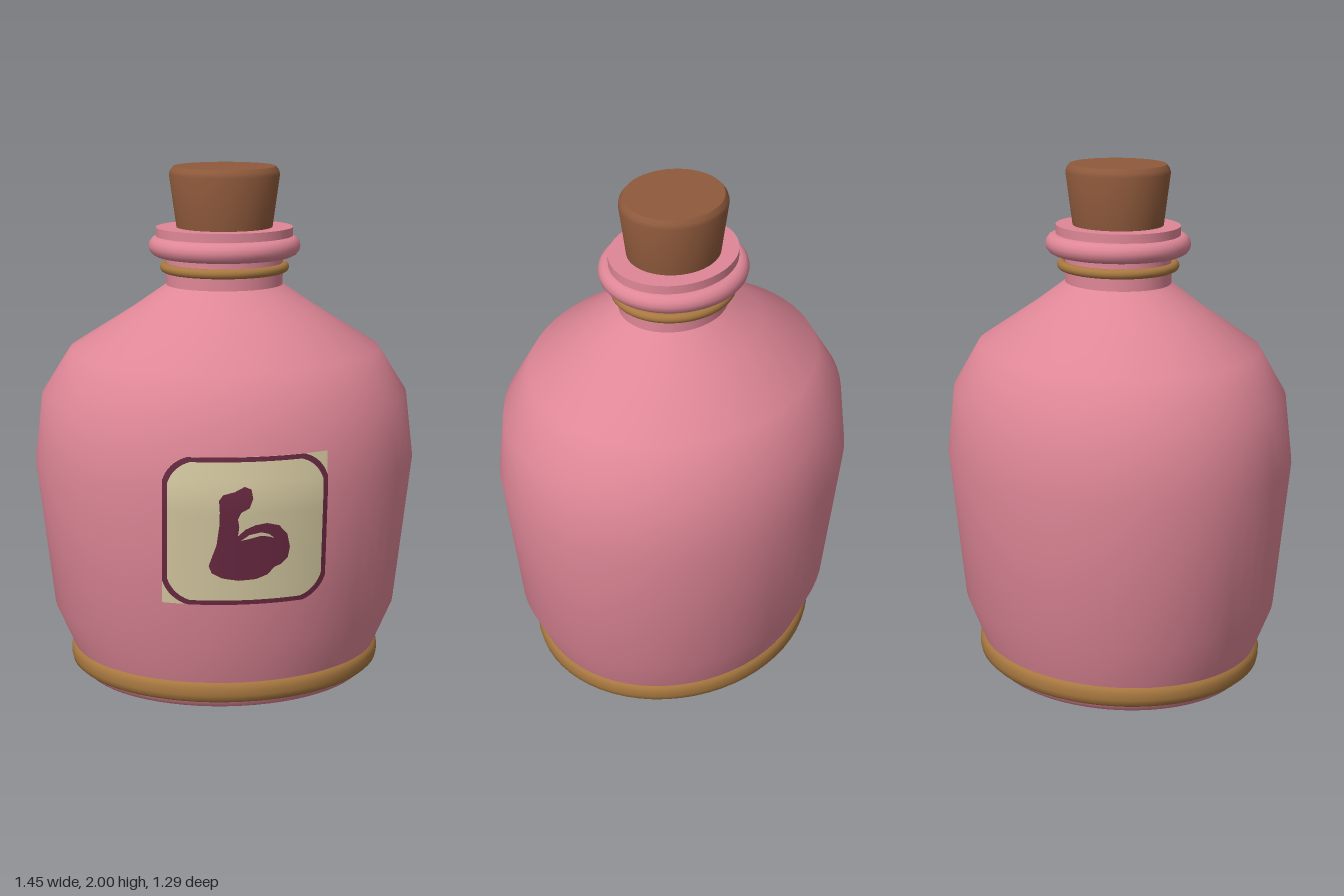
import * as THREE from 'three';
import { toCreasedNormals } from 'three/addons/utils/BufferGeometryUtils.js';

const DEPTH = 0.88;   // front-to-back squash of the oval body
const ZC = -0.006;    // body centre in z

// Body outline: [radius, height]
const PROFILE = [
  [0, 0], [0.4, 0], [0.55, 0.055], [0.565, 0.075], [0.59, 0.16], [0.662, 0.33],
  [0.725, 0.9], [0.695, 1.15], [0.588, 1.32], [0.35, 1.47], [0.22, 1.56], [0.22, 1.7],
];

function mat(name, color, side = THREE.FrontSide) {
  const m = new THREE.MeshStandardMaterial({ color, side });
  m.name = name;
  return m;
}

// Oval turned part with sharp edges kept
function turned(name, points, depth, material) {
  let geo = new THREE.LatheGeometry(points.map(([r, y]) => new THREE.Vector2(r, y)), 64);
  geo.scale(1, 1, depth);
  geo = toCreasedNormals(geo, 0.72);
  const mesh = new THREE.Mesh(geo, material);
  mesh.name = name;
  mesh.position.z = ZC;
  return mesh;
}

// Oval ring with a round section
function ring(name, outer, tube, y, depth, material) {
  const geo = new THREE.TorusGeometry(outer - tube, tube, 14, 64);
  geo.rotateX(Math.PI / 2);
  geo.scale(1, 1, depth);
  const mesh = new THREE.Mesh(geo, material);
  mesh.name = name;
  mesh.position.set(0, y, ZC);
  return mesh;
}

function radiusAt(y) {
  let i = 1;
  while (i < PROFILE.length - 2 && PROFILE[i + 1][1] < y) i++;
  const [r0, y0] = PROFILE[i], [r1, y1] = PROFILE[i + 1];
  return r0 + (r1 - r0) * (y - y0) / (y1 - y0);
}

// Flat shape split finely and laid on the front of the body
function draped(name, shape, offset, material) {
  const flat = new THREE.ShapeGeometry(shape, 8).toNonIndexed().attributes.position;
  let tris = [];
  for (let i = 0; i < flat.count; i += 3) {
    tris.push([0, 1, 2].map((k) => [flat.getX(i + k), flat.getY(i + k)]));
  }
  const mid = (a, b) => [(a[0] + b[0]) / 2, (a[1] + b[1]) / 2];
  for (let pass = 0; pass < 4; pass++) {
    tris = tris.flatMap(([a, b, c]) => {
      const ab = mid(a, b), bc = mid(b, c), ca = mid(c, a);
      return [[a, ab, ca], [ab, b, bc], [ca, bc, c], [ab, bc, ca]];
    });
  }
  const pos = [], nor = [];
  for (const [x, y] of tris.flat()) {
    const r = radiusAt(y), root = Math.sqrt(r * r - x * x);
    pos.push(x, y, ZC + DEPTH * root + offset);
    const slope = (radiusAt(y + 0.06) - radiusAt(y - 0.06)) / 0.12;
    const n = new THREE.Vector3(x, -r * slope, root / DEPTH).normalize();
    nor.push(n.x, n.y, n.z);
  }
  const geo = new THREE.BufferGeometry();
  geo.setAttribute('position', new THREE.Float32BufferAttribute(pos, 3));
  geo.setAttribute('normal', new THREE.Float32BufferAttribute(nor, 3));
  const mesh = new THREE.Mesh(geo, material);
  mesh.name = name;
  return mesh;
}

// Rectangle around the label centre; corner radii: bottom left, bottom right, top right, top left
function labelOutline(Type, inset, [bl, br, tr, tl]) {
  const x = 0.295 - inset, b = 0.497 + inset, t = 1.047 - inset;
  const s = new Type();
  s.moveTo(-x + bl, b);
  s.lineTo(x - br, b);
  if (br) s.quadraticCurveTo(x - br * 0.25, b + br * 0.25, x, b + br);
  s.lineTo(x, t - tr);
  if (tr) s.quadraticCurveTo(x - tr * 0.25, t - tr * 0.25, x - tr, t);
  s.lineTo(-x + tl, t);
  if (tl) s.quadraticCurveTo(-x + tl * 0.25, t - tl * 0.25, -x, t - tl);
  s.lineTo(-x, b + bl);
  if (bl) s.quadraticCurveTo(-x + bl * 0.25, b + bl * 0.25, -x + bl, b);
  return s;
}

export function createModel() {
  const glass = mat('pink glass', 0xdf8797);
  const gold = mat('gold band', 0xa87840);
  const cork = mat('cork', 0x8f5a3c);
  const paper = mat('cream paper', 0xd6caa2, THREE.DoubleSide);
  const ink = mat('maroon ink', 0x6a2942, THREE.DoubleSide);

  const model = new THREE.Group();
  model.name = 'bottle';

  // Bottle
  model.add(turned('body', PROFILE, DEPTH, glass));
  model.add(turned('rim', [[0.2, 1.69], [0.257, 1.7], [0.257, 1.775], [0, 1.775]], DEPTH, glass));
  model.add(ring('lip', 0.285, 0.038, 1.705, 0.942, glass));
  model.add(ring('neckBand', 0.243, 0.018, 1.625, 0.926, gold));

  // Rounded band round the foot
  model.add(turned('footBand', [
    [0.56, 0.083], [0.585, 0.085], [0.598, 0.097], [0.602, 0.115],
    [0.602, 0.135], [0.598, 0.153], [0.588, 0.162], [0.565, 0.162],
  ], 0.886, gold));

  // Stopper
  model.add(turned('stopper', [
    [0, 1.74], [0.176, 1.74], [0.181, 1.78], [0.207, 1.97], [0.203, 1.985], [0.191, 2], [0, 2],
  ], 0.927, cork));

  // Label: paper, frame and flexed arm emblem
  const label = new THREE.Group();
  label.name = 'label';
  label.add(draped('labelPaper', labelOutline(THREE.Shape, 0, [0, 0.085, 0, 0.085]), 0.011, paper));
  const frame = labelOutline(THREE.Shape, 0, [0.085, 0.085, 0.085, 0.085]);
  frame.holes.push(labelOutline(THREE.Path, 0.017, [0.078, 0.078, 0.078, 0.078]));
  label.add(draped('labelFrame', frame, 0.014, ink));

  const points = (list) => list.map(([x, y]) => new THREE.Vector2(x / 100, y / 100));
  const arm = new THREE.Shape(points([
    [-10, 89.5], [-8.5, 91.5], [-4.5, 92.5], [-1, 94.3], [1.4, 93.3], [2, 90], [0.8, 86.5],
    [-2.2, 84.8], [-3.3, 82.5], [-2.8, 79.5], [-3.2, 76], [-0.5, 78.5], [3, 80], [7.2, 80.6],
    [11.5, 79.5], [14.6, 76], [15.7, 71], [15, 67], [12.5, 64.6], [10, 63.6], [7.8, 61],
    [3.5, 59.4], [-2.8, 59], [-8.6, 60], [-12.3, 62], [-13.4, 64.7], [-12.3, 68],
    [-10.7, 72.7], [-9.8, 80], [-9.7, 85],
  ]));
  arm.holes.push(new THREE.Path(points([
    [-2.3, 74.2], [0.9, 76.4], [5.1, 77.2], [8, 76.4], [9.9, 74.8], [7.6, 75.5], [5.1, 75.9], [1.4, 75],
  ])));
  label.add(draped('armEmblem', arm, 0.014, ink));
  model.add(label);

  return model;
}
